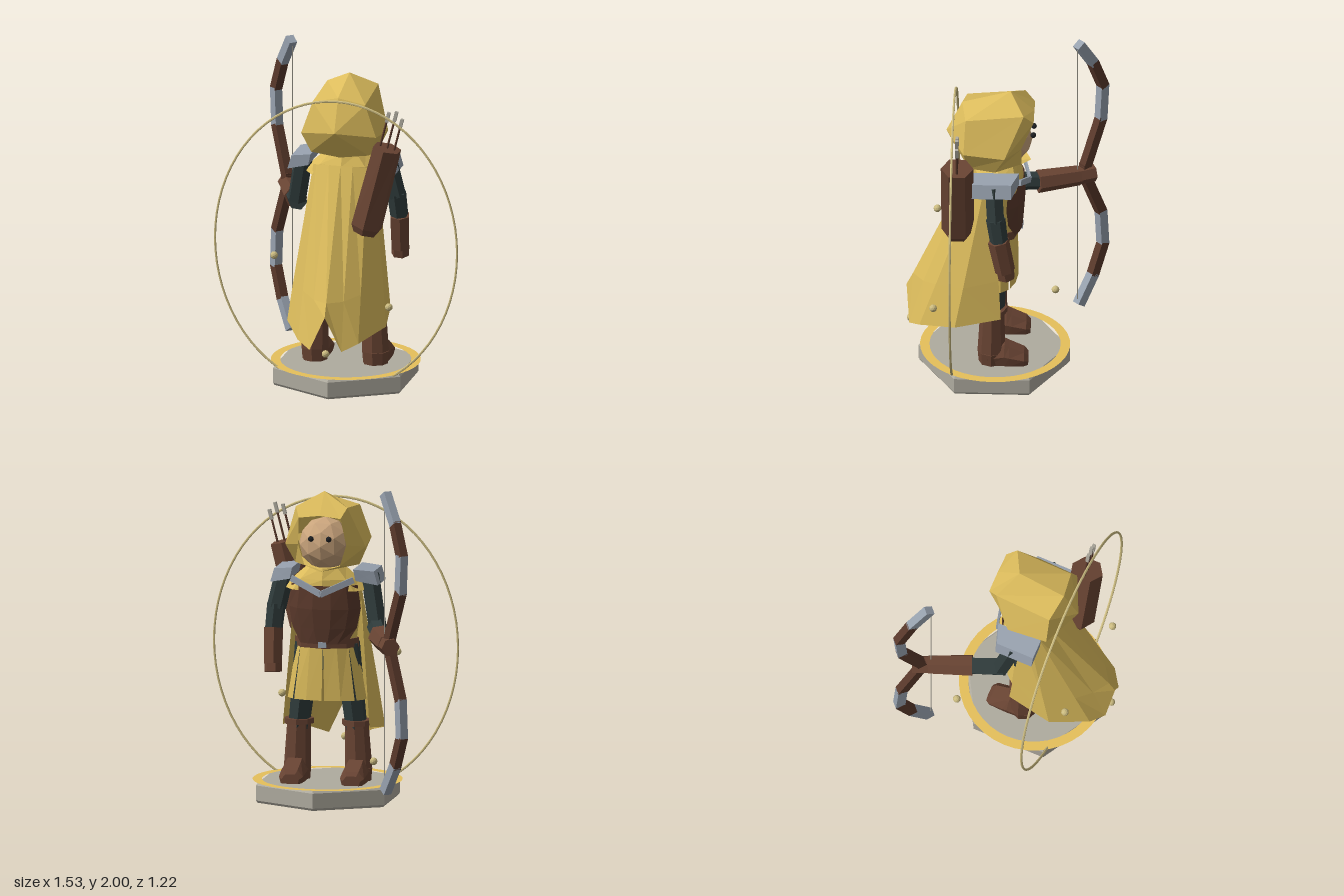
import * as THREE from 'three';

const V = (x, y, z) => new THREE.Vector3(x, y, z);
const mat = (name, color, side = THREE.FrontSide) =>
  Object.assign(new THREE.MeshStandardMaterial({ color, side, flatShading: true }), { name });

// Faceted skin through rows of points; caps are fans to the row centre
function loft(rows, { closed = true, caps = false } = {}) {
  const pos = [];
  const tri = (...pts) => pts.forEach((p) => pos.push(p.x, p.y, p.z));
  const n = rows[0].length;
  for (let r = 0; r < rows.length - 1; r++) {
    for (let i = 0; i < (closed ? n : n - 1); i++) {
      const j = (i + 1) % n, a = rows[r], b = rows[r + 1];
      tri(a[i], a[j], b[j]);
      tri(a[i], b[j], b[i]);
    }
  }
  if (caps) {
    [rows[0], rows[rows.length - 1]].forEach((row, k) => {
      const c = row.reduce((s, p) => s.add(p), V(0, 0, 0)).divideScalar(n);
      row.forEach((p, i) => (k ? tri(c, p, row[(i + 1) % n]) : tri(c, row[(i + 1) % n], p)));
    });
  }
  const g = new THREE.BufferGeometry();
  g.setAttribute('position', new THREE.Float32BufferAttribute(pos, 3));
  g.computeVertexNormals();
  return g;
}

// Elliptical row of points at height y
const oval = (y, rx, rz, cz, n = 8) => Array.from({ length: n }, (_, i) => {
  const a = (Math.PI * 2 * i) / n;
  return V(Math.sin(a) * rx, y, cz + Math.cos(a) * rz);
});
// Open elliptical row of n points centred on angle a, reaching w to each side
const arc = (y, rx, rz, cz, a, w, n) => Array.from({ length: n }, (_, i) => {
  const t = a - w + (2 * w * i) / (n - 1);
  return V(Math.sin(t) * rx, y, cz + Math.cos(t) * rz);
});

// Mirrors half a row (from top centre to bottom centre) into a full row
const mirrorRow = (half) =>
  [...half, ...half.slice(1, -1).reverse().map(([x, y, z]) => [-x, y, z])].map((p) => V(...p));

export function createModel() {
  const root = new THREE.Group();
  const cloth = mat('yellow cloth', 0xdcbc5c, THREE.DoubleSide);
  const leather = mat('brown leather', 0x694433, THREE.DoubleSide);
  const wood = mat('dark brown', 0x5a392b, THREE.DoubleSide);
  const steel = mat('steel', 0x97a1ae);
  const sleeve = mat('dark sleeve', 0x2f3b3b);
  const stone = mat('stone', 0xafab9f);
  const skin = mat('skin', 0xc9a47c);
  const gold = mat('gold', 0xe6c05a, THREE.DoubleSide);
  const brass = mat('pale brass', 0xcbbb80);
  const black = mat('black', 0x1d1f22);

  const add = (name, geo, material, pos = [0, 0, 0], parent = root) => {
    const m = new THREE.Mesh(geo, material);
    m.name = name;
    m.position.set(...pos);
    parent.add(m);
    return m;
  };
  // Tapered prism between two points
  const limb = (name, a, b, ra, rb, material, sides = 6) => {
    const p = V(...a), q = V(...b), d = q.clone().sub(p);
    const m = add(name, new THREE.CylinderGeometry(rb, ra, d.length(), sides), material,
      p.clone().add(q).multiplyScalar(0.5).toArray());
    m.quaternion.setFromUnitVectors(V(0, 1, 0), d.normalize());
    return m;
  };

  // Hexagonal base with chamfered edges, and the flat ring on it
  add('base', loft([oval(0, 0.45, 0.45, 0.07, 6), oval(0.015, 0.462, 0.462, 0.07, 6),
    oval(0.108, 0.462, 0.462, 0.07, 6), oval(0.122, 0.45, 0.45, 0.07, 6)], { caps: true }), stone);
  add('baseRing', new THREE.RingGeometry(0.4, 0.458, 40), gold, [0, 0.127, 0.065]).rotation.x = -Math.PI / 2;

  // Tall oval hoop and floating beads
  const hoop = add('hoop', new THREE.TorusGeometry(0.912, 0.008, 6, 72), brass, [0, 0.92, 0.315]);
  hoop.scale.x = 0.833;
  [[-0.36, 0.865, 0.43], [0.36, 0.585, 0.43], [-0.36, 0.305, -0.29], [0, 0.305, 0.58]].forEach((p) =>
    add('bead', new THREE.IcosahedronGeometry(0.024, 1), brass, p));

  // Legs and boots
  for (const s of [-1, 1]) {
    limb('leg', [s * 0.18, 0.44, 0.07], [s * 0.12, 0.97, 0.06], 0.068, 0.085, sleeve);
    limb('bootShaft', [s * 0.19, 0.2, 0.08], [s * 0.18, 0.48, 0.075], 0.085, 0.073, leather, 8);
    limb('bootHeel', [s * 0.19, 0.12, 0.08], [s * 0.19, 0.2, 0.08], 0.078, 0.085, leather, 8);
    limb('bootCuff', [s * 0.18, 0.465, 0.075], [s * 0.18, 0.498, 0.075], 0.092, 0.092, leather, 8);
    const foot = [[0.1, 0.075, 0.1], [0.0, 0.08, 0.14], [-0.03, 0.08, 0.125], [-0.12, 0.075, 0.085], [-0.145, 0.055, 0.06]];
    add('foot', loft(foot.map(([z, w, h]) => [[-w * 0.85, 0], [-w, h * 0.5], [-w * 0.55, h], [w * 0.55, h], [w, h * 0.5], [w * 0.85, 0]]
      .map(([x, y]) => V(x, y, z)).reverse()), { caps: true }), leather, [s * 0.19, 0.12, 0]);
  }

  // Hips, split skirt panels, belt and buckle
  add('hips', loft([oval(0.82, 0.16, 0.1, 0.05), oval(0.98, 0.18, 0.11, 0.05)], { caps: true }), sleeve);
  for (let i = 0; i < 6; i++) {
    const a = Math.PI * (1 + (i - 2.5) * 0.29);
    add('skirtPanel', loft([arc(0.63, 0.245, 0.128, 0.05, a, 0.42, 3), arc(0.99, 0.185, 0.125, 0.05, a, 0.455, 3)],
      { closed: false }), cloth);
  }
  add('belt', loft([oval(0.955, 0.2, 0.14, 0.045), oval(1.01, 0.2, 0.145, 0.045)], { caps: true }), leather);
  add('buckle', new THREE.BoxGeometry(0.05, 0.035, 0.012), steel, [0, 0.98, -0.1]);

  // Cloth tunic, leather breastplate over its front, and cowl
  add('tunic', loft([oval(0.99, 0.185, 0.13, 0.04), oval(1.14, 0.205, 0.14, 0.04),
    oval(1.3, 0.215, 0.14, 0.045), oval(1.38, 0.18, 0.11, 0.05)], { caps: true }), cloth);
  const plate = (y, rx, rz, w) => arc(y, rx, rz, 0.04, Math.PI, w, 6);
  add('breastplate', loft([plate(0.985, 0.2, 0.145, 0.8), plate(1.08, 0.22, 0.155, 1.15),
    plate(1.2, 0.235, 0.165, 1.25), plate(1.345, 0.225, 0.155, 1.15)], { closed: false }), wood);
  add('cowl', loft([oval(1.31, 0.27, 0.155, 0.045), oval(1.38, 0.2, 0.15, 0.045),
    oval(1.45, 0.12, 0.12, 0.04)], { caps: true }), cloth);

  // Cape with a notched hem; the middle row keeps the folds straight
  const capeTop = [[0.2, 1.36, 0.07], [0.19, 1.37, 0.12], [0.16, 1.38, 0.165], [0.075, 1.39, 0.195], [0, 1.39, 0.2]];
  const capeMid = [[0.25, 0.72, 0.035], [0.28, 0.68, 0.25], [0.182, 0.65, 0.42], [0.094, 0.62, 0.5], [0, 0.62, 0.565]];
  const capeHem = [[0.27, 0.46, 0.02], [0.31, 0.42, 0.3], [0.19, 0.365, 0.52], [0.1, 0.325, 0.585], [0, 0.54, 0.605]];
  const full = (half) => [...half, ...half.slice(0, -1).reverse().map(([x, y, z]) => [-x, y, z])].map((p) => V(...p));
  add('cape', loft([capeHem, capeMid, capeTop].map(full), { closed: false }), cloth);

  // Faceted hood: face opening, brow, back, and rear point
  const opening = [[0, 1.79, -0.175], [0.13, 1.775, -0.175], [0.15, 1.6, -0.1], [0.11, 1.47, -0.1], [0, 1.44, -0.155]];
  const brow = [[0, 1.92, -0.03], [0.16, 1.835, -0.115], [0.25, 1.58, 0.0], [0.2, 1.46, 0.06], [0, 1.43, -0.04]];
  const back = [[0, 1.84, 0.265], [0.165, 1.8, 0.24], [0.235, 1.6, 0.25], [0.18, 1.475, 0.22], [0, 1.45, 0.22]];
  const tip = back.map(() => [0, 1.64, 0.362]);
  add('hood', loft([opening, brow, back, tip].map(mirrorRow)), cloth);

  // Head and eyes
  add('head', new THREE.IcosahedronGeometry(0.163, 1), skin, [0, 1.595, -0.002]);
  for (const s of [-1, 1]) add('eye', new THREE.IcosahedronGeometry(0.018, 1), black, [s * 0.055, 1.645, -0.17]);

  // Shoulder plates, swept forward at the neck, and V-shaped collar
  for (const s of [-1, 1]) {
    const slab = (zOut, zIn) => [[0.19, 1.45, zIn], [0.31, 1.435, zOut], [0.335, 1.35, zOut], [0.205, 1.38, zIn]]
      .map(([x, y, z]) => V(s * x, y, z));
    const rows = [slab(-0.045, -0.088), slab(0.195, 0.195)];
    add('shoulderPlate', loft(s > 0 ? rows.reverse() : rows, { caps: true }), steel);
    const p = V(s * 0.19, 1.385, -0.095), q = V(0, 1.3, -0.148);
    const bar = add('collarBar', new THREE.BoxGeometry(0.014, 0.038, p.distanceTo(q) + 0.01), steel,
      p.clone().add(q).multiplyScalar(0.5).toArray());
    bar.lookAt(q);
  }

  // Lowered arm
  limb('upperArm', [0.265, 1.4, 0.065], [0.315, 1.18, 0.05], 0.06, 0.06, sleeve);
  limb('upperArm', [0.315, 1.2, 0.05], [0.33, 1.02, 0.025], 0.06, 0.055, sleeve);
  limb('gauntlet', [0.33, 1.055, 0.033], [0.325, 0.84, -0.008], 0.066, 0.062, leather);
  limb('hand', [0.325, 0.85, -0.006], [0.322, 0.79, -0.018], 0.055, 0.055, leather);

  // Raised bow arm
  limb('upperArm', [-0.265, 1.4, 0.06], [-0.325, 1.1, -0.01], 0.06, 0.058, sleeve);
  limb('forearm', [-0.315, 1.095, 0.01], [-0.39, 1.06, -0.21], 0.06, 0.055, sleeve);
  limb('gauntlet', [-0.375, 1.06, -0.18], [-0.475, 1.05, -0.43], 0.072, 0.062, leather);
  limb('hand', [-0.465, 1.05, -0.41], [-0.515, 1.05, -0.52], 0.057, 0.057, leather);

  // Bow, built in its own plane and mirrored up and down
  const bow = new THREE.Group();
  bow.name = 'bow';
  bow.position.set(-0.455, 1.065, -0.42);
  bow.rotation.y = 2.32;
  root.add(bow);
  const path = [[0.015, 0.915], [0.125, 0.75], [0.205, 0.56], [0.19, 0.33], [0.065, 0.04]];
  for (const s of [-1, 1]) {
    path.slice(1).forEach(([x1, y1], i) => {
      const [x0, y0] = path[i], dx = x0 - x1, dy = s * (y0 - y1);
      const m = add('bowLimb', new THREE.BoxGeometry(0.06, Math.hypot(dx, dy) + 0.015, 0.052),
        i % 2 ? wood : steel, [(x0 + x1) / 2, (s * (y0 + y1)) / 2, 0], bow);
      m.rotation.z = -Math.atan2(dx, dy);
    });
  }
  add('bowGrip', new THREE.BoxGeometry(0.058, 0.12, 0.052), wood, [0.065, 0, 0], bow);
  add('bowString', new THREE.CylinderGeometry(0.003, 0.003, 1.76, 5), stone, [0, 0, 0], bow);

  // Quiver and arrows, tilted together
  const quiver = new THREE.Group();
  quiver.name = 'quiver';
  quiver.position.set(0.245, 1.28, 0.285);
  quiver.rotation.z = -0.25;
  root.add(quiver);
  add('quiverCase', loft([oval(-0.285, 0.075, 0.075, 0, 6), oval(-0.24, 0.1, 0.1, 0, 6),
    oval(0.28, 0.09, 0.1, 0, 6)], { caps: true }), leather, [0, 0, 0], quiver);
  [-0.045, 0, 0.045].forEach((x, i) => {
    const y = [0.49, 0.51, 0.475][i];
    add('arrowShaft', new THREE.CylinderGeometry(0.007, 0.007, 0.3, 5), wood, [x, y - 0.15, 0], quiver);
    add('arrowFletching', new THREE.BoxGeometry(0.02, 0.065, 0.02), stone, [x, y - 0.02, 0], quiver);
  });
  return root;
}
